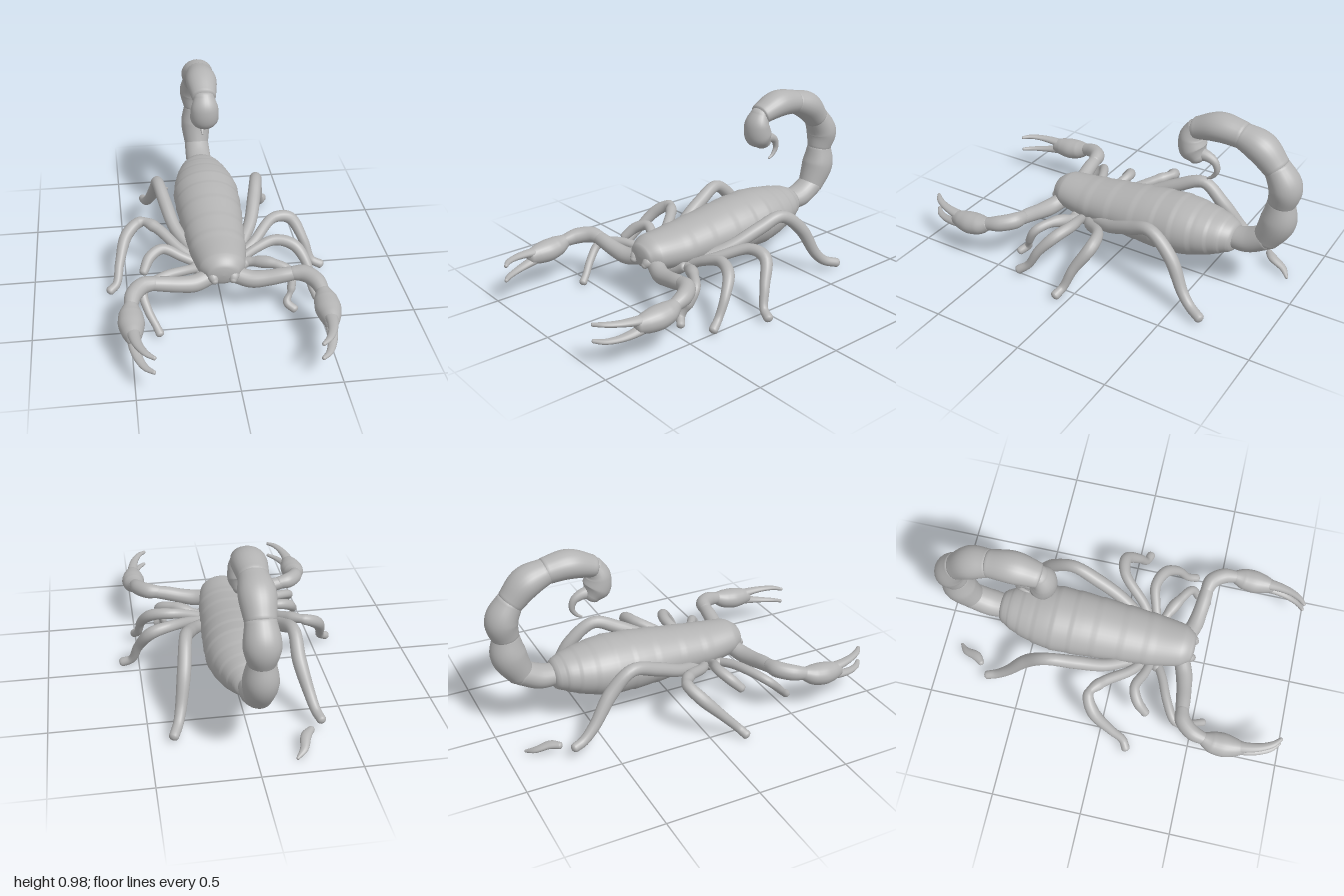
import * as THREE from 'three';

const shell = new THREE.MeshStandardMaterial({ color: 0xb4b4b4 });
shell.name = 'grey shell';

// Smooth loft through stations [x, y, z, halfWidth, halfHeight], with rounded ends.
function loft(name, stations, { steps = 6, sides = 16, cap = 0.7, ripple = null } = {}) {
  const path = new THREE.CatmullRomCurve3(stations.map(s => new THREE.Vector3(s[0], s[1], s[2])));
  const size = new THREE.CatmullRomCurve3(stations.map(s => new THREE.Vector3(s[3], s[4] ?? s[3], 0)));
  const count = (stations.length - 1) * steps, capRings = 4;
  const positions = [], index = [];
  let side = null, rings = 0;

  const addRing = (t, shift, shrink) => {
    const c = path.getPoint(t), r = size.getPoint(t), dir = path.getTangent(t);
    if (!side) side = Math.abs(dir.x) < 0.85 ? new THREE.Vector3(1, 0, 0) : new THREE.Vector3(0, 0, 1);
    side.addScaledVector(dir, -side.dot(dir)).normalize();
    const up = dir.clone().cross(side);
    c.addScaledVector(dir, shift * cap * Math.min(r.x, r.y));
    const k = shrink * (ripple ? ripple(t) : 1);
    for (let j = 0; j < sides; j++) {
      const a = j / sides * Math.PI * 2;
      const p = c.clone().addScaledVector(side, Math.cos(a) * r.x * k).addScaledVector(up, Math.sin(a) * r.y * k);
      positions.push(p.x, p.y, p.z);
    }
    rings++;
  };

  for (let i = capRings; i > 0; i--) {
    const a = i / capRings * Math.PI / 2;
    addRing(0, -Math.sin(a), Math.cos(a) + 0.001);
  }
  for (let i = 0; i <= count; i++) addRing(i / count, 0, 1);
  for (let i = 1; i <= capRings; i++) {
    const a = i / capRings * Math.PI / 2;
    addRing(1, Math.sin(a), Math.cos(a) + 0.001);
  }
  for (let i = 0; i < rings - 1; i++) for (let j = 0; j < sides; j++) {
    const a = i * sides + j, b = i * sides + (j + 1) % sides;
    index.push(a, b, a + sides, b, b + sides, a + sides);
  }
  const geometry = new THREE.BufferGeometry();
  geometry.setAttribute('position', new THREE.Float32BufferAttribute(positions, 3));
  geometry.setIndex(index);
  geometry.computeVertexNormals();
  const mesh = new THREE.Mesh(geometry, shell);
  mesh.name = name;
  return mesh;
}

export function createModel() {
  const model = new THREE.Group();
  model.name = 'scorpion';
  const cx = -0.008;

  // Body: z, half width, bottom, top; overlapping plates step the surface slightly
  const body = [
    [0.41, 0.085, 0.205, 0.335], [0.36, 0.12, 0.18, 0.365], [0.2, 0.148, 0.155, 0.378],
    [0, 0.165, 0.143, 0.402], [-0.2, 0.18, 0.128, 0.428], [-0.35, 0.184, 0.13, 0.438],
    [-0.5, 0.16, 0.165, 0.425], [-0.6, 0.125, 0.2, 0.405], [-0.66, 0.09, 0.225, 0.38],
  ].map(([z, w, lo, hi]) => [cx, (lo + hi) / 2, z, w, (hi - lo) / 2]);
  model.add(loft('body', body, {
    steps: 12, sides: 40, cap: 0.3,
    ripple: t => (t < 0.25 ? 1 : 0.99 + 0.025 * ((t * 11) % 1)),
  }));

  // Tail: barrel segments, each [y, z, half width, half height] at start, middle, end
  const tail = [
    [[0.305, -0.64, 0.065, 0.052], [0.315, -0.74, 0.075, 0.064], [0.365, -0.84, 0.072, 0.065]],
    [[0.355, -0.835, 0.07, 0.07], [0.48, -0.892, 0.087, 0.092], [0.59, -0.9, 0.066, 0.07]],
    [[0.585, -0.9, 0.068, 0.07], [0.68, -0.913, 0.09, 0.083], [0.78, -0.86, 0.074, 0.066]],
    [[0.775, -0.86, 0.075, 0.068], [0.86, -0.775, 0.09, 0.079], [0.9, -0.67, 0.074, 0.064]],
    [[0.9, -0.675, 0.074, 0.066], [0.912, -0.55, 0.086, 0.073], [0.875, -0.42, 0.068, 0.055]],
  ];
  tail.forEach((seg, i) => model.add(loft('tailSegment' + (i + 1),
    seg.map(([y, z, w, h]) => [cx, y, z, w, h]), { steps: 10, sides: 24, cap: 0.3 })));

  // Venom bulb and curved stinger
  model.add(loft('venomBulb', [
    [cx, 0.88, -0.415, 0.055, 0.045], [cx, 0.82, -0.395, 0.076, 0.064],
    [cx, 0.76, -0.405, 0.08, 0.073], [cx, 0.715, -0.435, 0.058, 0.045],
  ], { steps: 8, sides: 24 }));
  model.add(loft('stinger', [
    [cx, 0.735, -0.44, 0.036], [cx, 0.728, -0.49, 0.028], [cx, 0.705, -0.53, 0.021],
    [cx, 0.66, -0.543, 0.015], [cx, 0.62, -0.52, 0.01], [cx, 0.603, -0.493, 0.006],
  ]));

  // Pincer arms, hands, fingers and mouthparts, mirrored
  for (const s of [1, -1]) {
    const side = s > 0 ? 'left' : 'right';
    const mirror = pts => pts.map(([x, ...rest]) => [s * x + (s > 0 ? 0 : -0.015), ...rest]);
    const arm = new THREE.Group();
    arm.name = side + 'PincerArm';
    arm.add(
      loft('upperArm', mirror([
        [0.06, 0.23, 0.37, 0.045], [0.14, 0.215, 0.4, 0.046], [0.22, 0.225, 0.415, 0.042],
        [0.3, 0.243, 0.425, 0.04], [0.365, 0.255, 0.43, 0.036],
      ]), { sides: 20 }),
      loft('forearm', mirror([
        [0.35, 0.255, 0.428, 0.036], [0.41, 0.258, 0.445, 0.044], [0.46, 0.25, 0.505, 0.043],
        [0.478, 0.235, 0.575, 0.034],
      ]), { sides: 20 }),
      loft('hand', mirror([
        [0.478, 0.235, 0.57, 0.036], [0.482, 0.218, 0.62, 0.06, 0.053], [0.482, 0.208, 0.68, 0.066, 0.059],
        [0.48, 0.204, 0.745, 0.053, 0.053], [0.476, 0.202, 0.79, 0.036, 0.042],
      ]), { sides: 24, cap: 0.5 }),
      loft('upperFinger', mirror([
        [0.478, 0.222, 0.75, 0.034, 0.026], [0.472, 0.23, 0.82, 0.028, 0.02],
        [0.455, 0.237, 0.89, 0.022, 0.015], [0.425, 0.242, 0.95, 0.017, 0.012], [0.39, 0.241, 0.985, 0.01],
      ])),
      loft('lowerFinger', mirror([
        [0.478, 0.183, 0.75, 0.034, 0.026], [0.474, 0.168, 0.82, 0.028, 0.02],
        [0.458, 0.158, 0.89, 0.022, 0.015], [0.43, 0.155, 0.95, 0.017, 0.012], [0.394, 0.157, 0.988, 0.01],
      ])),
    );
    model.add(arm);
    model.add(loft(side + 'Mouthpart', mirror([
      [0.045, 0.26, 0.37, 0.035], [0.045, 0.25, 0.41, 0.03], [0.04, 0.235, 0.43, 0.018],
    ])));
  }

  // Legs follow a slightly asymmetric stance; one leg ends short
  const legs = {
    leftFrontLeg: [[0.09, 0.19, 0.21, 0.024], [0.18, 0.21, 0.24, 0.026], [0.28, 0.225, 0.295, 0.026],
      [0.355, 0.2, 0.345, 0.025], [0.355, 0.12, 0.39, 0.022], [0.33, 0.06, 0.42, 0.022], [0.365, 0.035, 0.45, 0.022]],
    leftSecondLeg: [[0.1, 0.19, 0.2, 0.024], [0.2, 0.24, 0.165, 0.026], [0.31, 0.27, 0.14, 0.03],
      [0.41, 0.25, 0.175, 0.032], [0.468, 0.17, 0.245, 0.026], [0.485, 0.07, 0.305, 0.022], [0.505, 0.032, 0.355, 0.024]],
    leftThirdLeg: [[0.1, 0.19, 0.17, 0.026], [0.2, 0.235, 0.095, 0.028], [0.33, 0.295, -0.04, 0.03],
      [0.43, 0.275, -0.06, 0.034], [0.5, 0.16, 0.005, 0.027], [0.54, 0.055, 0.045, 0.023], [0.59, 0.03, 0.06, 0.025]],
    leftRearLeg: [[0.12, 0.21, 0.11, 0.03], [0.2, 0.27, -0.04, 0.035], [0.245, 0.34, -0.19, 0.037],
      [0.275, 0.385, -0.32, 0.034], [0.3, 0.28, -0.455, 0.036], [0.33, 0.12, -0.545, 0.03],
      [0.35, 0.065, -0.6, 0.027], [0.38, 0.04, -0.67, 0.026]],
    rightFrontLeg: [[-0.1, 0.19, 0.23, 0.024], [-0.2, 0.215, 0.285, 0.025], [-0.32, 0.22, 0.335, 0.026],
      [-0.42, 0.19, 0.4, 0.024], [-0.405, 0.12, 0.47, 0.022], [-0.37, 0.06, 0.525, 0.02], [-0.352, 0.03, 0.558, 0.022]],
    rightSecondLeg: [[-0.1, 0.19, 0.21, 0.024], [-0.2, 0.235, 0.185, 0.026], [-0.3, 0.27, 0.15, 0.028],
      [-0.37, 0.245, 0.18, 0.03], [-0.41, 0.19, 0.235, 0.024]],
    rightThirdLeg: [[-0.1, 0.19, 0.18, 0.026], [-0.2, 0.23, 0.11, 0.028], [-0.32, 0.29, -0.03, 0.03],
      [-0.4, 0.3, -0.085, 0.03], [-0.48, 0.25, -0.045, 0.034], [-0.53, 0.14, 0.06, 0.026],
      [-0.555, 0.055, 0.14, 0.023], [-0.592, 0.03, 0.165, 0.024]],
    rightRearLeg: [[-0.13, 0.21, 0.11, 0.03], [-0.215, 0.27, -0.04, 0.035], [-0.255, 0.34, -0.19, 0.037],
      [-0.285, 0.39, -0.34, 0.034], [-0.29, 0.29, -0.46, 0.037], [-0.325, 0.15, -0.57, 0.03],
      [-0.345, 0.09, -0.64, 0.026], [-0.36, 0.075, -0.695, 0.024]],
    // Loose foot tip lying behind the right rear leg
    rightRearFootTip: [[-0.295, 0.065, -0.75, 0.018], [-0.26, 0.06, -0.79, 0.027, 0.018],
      [-0.235, 0.035, -0.86, 0.021, 0.014], [-0.195, 0.013, -0.9, 0.008]],
  };
  for (const [name, pts] of Object.entries(legs)) model.add(loft(name, pts, { steps: 7 }));

  // Hip lumps joining the legs under the body
  for (const s of [1, -1]) for (let i = 0; i < 4; i++) {
    const z = 0.25 - i * 0.05;
    model.add(loft((s > 0 ? 'left' : 'right') + 'Hip' + (i + 1), [
      [cx + s * 0.03, 0.165, z + 0.03, 0.025], [cx + s * 0.09, 0.178, z, 0.032], [cx + s * 0.14, 0.205, z - 0.01, 0.026],
    ]));
  }
  return model;
}
